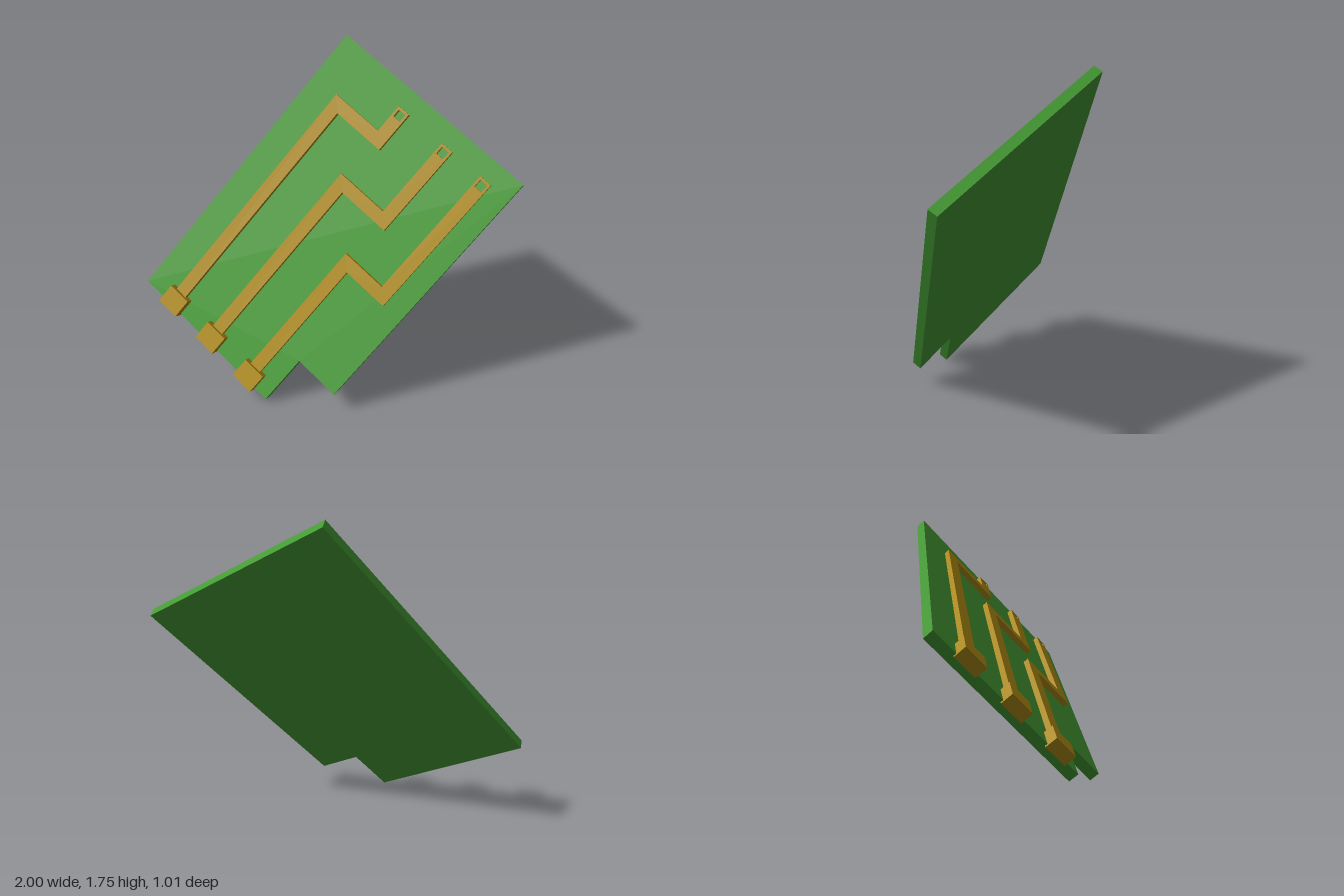
import * as THREE from 'three';

const green = new THREE.MeshStandardMaterial({ color: 0x449a33 });
const gold = new THREE.MeshStandardMaterial({ color: 0xb08c12 });

// Flat outline raised from z = base by the given depth
function plate(name, points, base, depth, material, hole) {
  const shape = new THREE.Shape(points.map(([x, y]) => new THREE.Vector2(x, y)));
  if (hole) shape.holes.push(new THREE.Path(hole.map(([x, y]) => new THREE.Vector2(x, y))));
  const geometry = new THREE.ExtrudeGeometry(shape, { depth, bevelEnabled: false });
  geometry.translate(0, 0, base);
  const mesh = new THREE.Mesh(geometry, material);
  mesh.name = name;
  return mesh;
}

const rect = (x0, y0, x1, y1) => [[x0, y0], [x1, y0], [x1, y1], [x0, y1]];

export function createModel() {
  const group = new THREE.Group();
  group.name = 'circuitBoard';

  // Everything is laid out flat: x across, y along the board, z out of its face
  const board = new THREE.Group();
  board.name = 'tiltedBoard';
  group.add(board);

  // Board with one notched corner
  board.add(plate('boardPlate',
    [[0, 0], [0.943, 0], [0.943, 0.29], [1.197, 0.29], [1.197, 1.75], [0, 1.75]],
    -0.053, 0.053, green));

  // Three stepped traces, each with a contact block and an open square end
  const w = 0.07, top = 1.647, m = 0.013;
  const traces = [
    { start: 0.17, end: 0.466, jog: 1.484 },
    { start: 0.463, end: 0.759, jog: 1.192 },
    { start: 0.757, end: 1.012, jog: 0.898 },
  ];
  traces.forEach(({ start, end, jog }, i) => {
    board.add(plate(`trace${i + 1}`, [
      [start, 0.03], [start + w, 0.03], [start + w, jog - w], [end + w, jog - w],
      [end + w, top], [end, top], [end, jog], [start, jog],
    ], 0, 0.03, gold, rect(end + m, top - w + m, end + w - m, top - m)));
    board.add(plate(`contact${i + 1}`,
      rect(start - 0.03, -0.012, start + 0.102, 0.1), -0.015, 0.066, gold));
  });

  // Tilt the flat layout into its leaning pose
  const along = new THREE.Vector3(1.08, 1.29, -0.48).normalize();
  const across = new THREE.Vector3(0.91, -0.54, 0.56);
  across.addScaledVector(along, -across.dot(along)).normalize();
  const normal = new THREE.Vector3().crossVectors(across, along);
  board.quaternion.setFromRotationMatrix(new THREE.Matrix4().makeBasis(across, along, normal));
  board.position.set(-1, 0.455, 0.02);
  return group;
}
